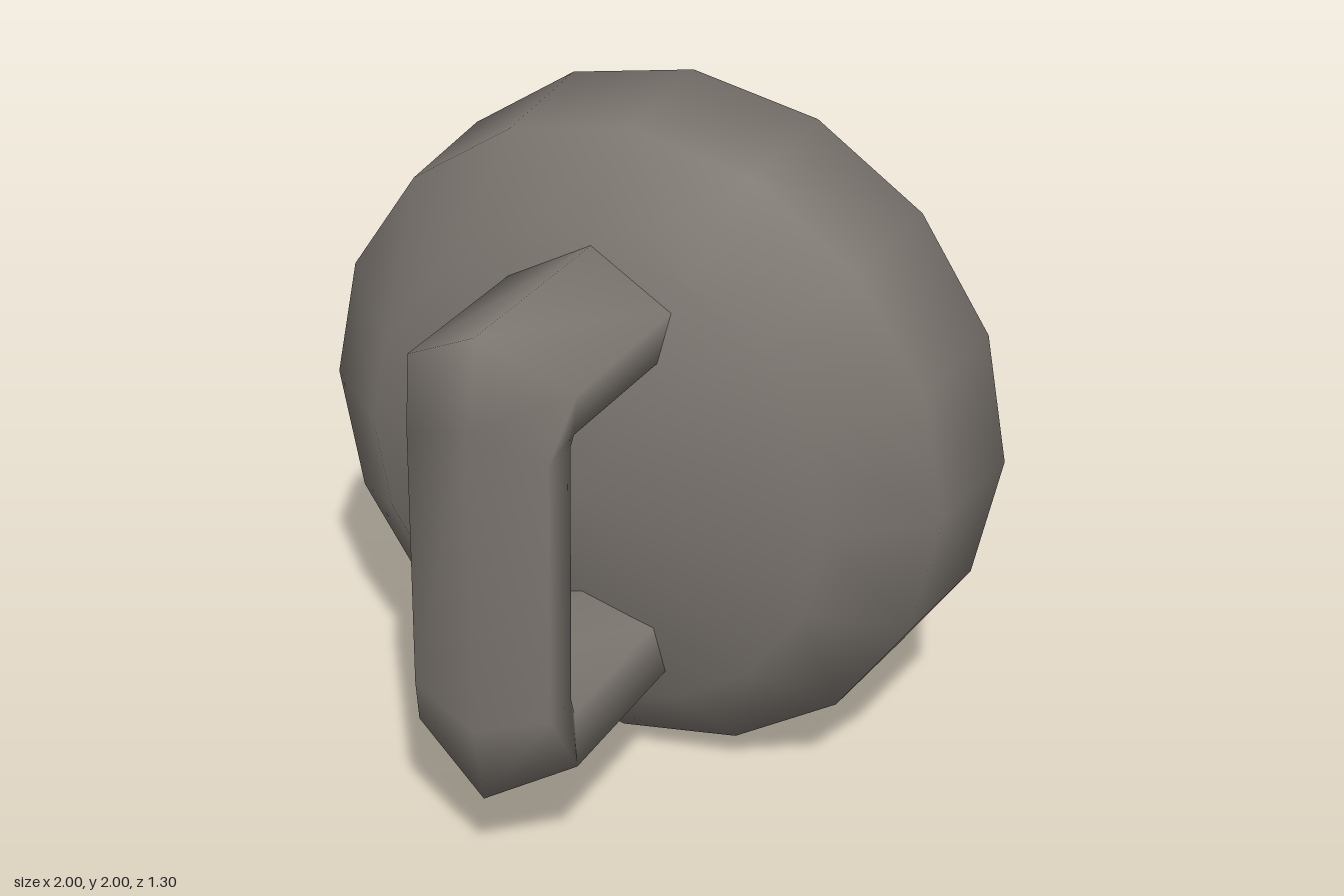
import * as THREE from 'three';

const SIDES = 16;
const CENTRE_Y = 1;

// Skin between equal-length loops of points; optional end points close it as fans
function skin(loops, startTip, endTip) {
  const n = loops[0].length;
  const points = loops.flat();
  const index = [];
  for (let i = 0; i < loops.length - 1; i++) {
    for (let j = 0; j < n; j++) {
      const a = i * n + j;
      const b = i * n + (j + 1) % n;
      index.push(a, b, b + n, a, b + n, a + n);
    }
  }
  const last = (loops.length - 1) * n;
  if (startTip) {
    const tip = points.push(startTip) - 1;
    for (let j = 0; j < n; j++) index.push(tip, (j + 1) % n, j);
  }
  if (endTip) {
    const tip = points.push(endTip) - 1;
    for (let j = 0; j < n; j++) index.push(last + j, last + (j + 1) % n, tip);
  }
  const geometry = new THREE.BufferGeometry();
  geometry.setAttribute('position', new THREE.Float32BufferAttribute(points.flat(), 3));
  geometry.setIndex(index);
  geometry.computeVertexNormals();
  return geometry;
}

// Ring of points around the z axis
function ring(radius, z) {
  return Array.from({ length: SIDES }, (_, j) => {
    const a = (j / SIDES) * Math.PI * 2;
    return [radius * Math.cos(a), radius * Math.sin(a), z];
  });
}

// Six-sided section: outer tip, outer side, inner side, inner tip, mirrored in x
function section(tip, outer, inner, innerTip) {
  const flip = ([x, y, z]) => [-x, y, z];
  return [tip, flip(outer), flip(inner), innerTip, inner, outer];
}

export function createModel() {
  const group = new THREE.Group();
  const grey = new THREE.MeshStandardMaterial({ color: 0x7b756f });
  grey.name = 'warm grey';

  // Round body: flat back, short wall, bevel and shallow cone at the front
  const bodyGeometry = skin(
    [ring(1, -0.65), ring(0.97, -0.25), ring(0.715, -0.03)],
    [0, 0, -0.65],
    [0, 0, 0.075]
  );
  // Soft rim: the back shades smoothly into the wall
  const normals = bodyGeometry.attributes.normal;
  ring(0.93, -0.37).forEach((p, j) => normals.setXYZ(j, ...p));
  const body = new THREE.Mesh(bodyGeometry, grey);
  body.name = 'body';
  body.position.y = CENTRE_Y;
  group.add(body);

  // Handle: upper half sections from the body to the grip, then mirrored down
  const upper = [
    section([0, 0.71, -0.04], [0.25, 0.57, -0.04], [0.22, 0.42, -0.04], [0, 0.35, -0.04]),
    section([0, 0.71, 0.6], [0.25, 0.57, 0.52], [0.22, 0.43, 0.48], [0, 0.35, 0.43]),
    section([0, 0.46, 0.65], [0.21, 0.39, 0.6], [0.21, 0.39, 0.48], [0, 0.33, 0.425]),
  ];
  const lower = upper.map((loop) => loop.map(([x, y, z]) => [x, -y, z])).reverse();
  const handle = new THREE.Mesh(skin([...upper, ...lower]), grey);
  handle.name = 'handle';
  handle.position.y = CENTRE_Y;
  group.add(handle);

  return group;
}
